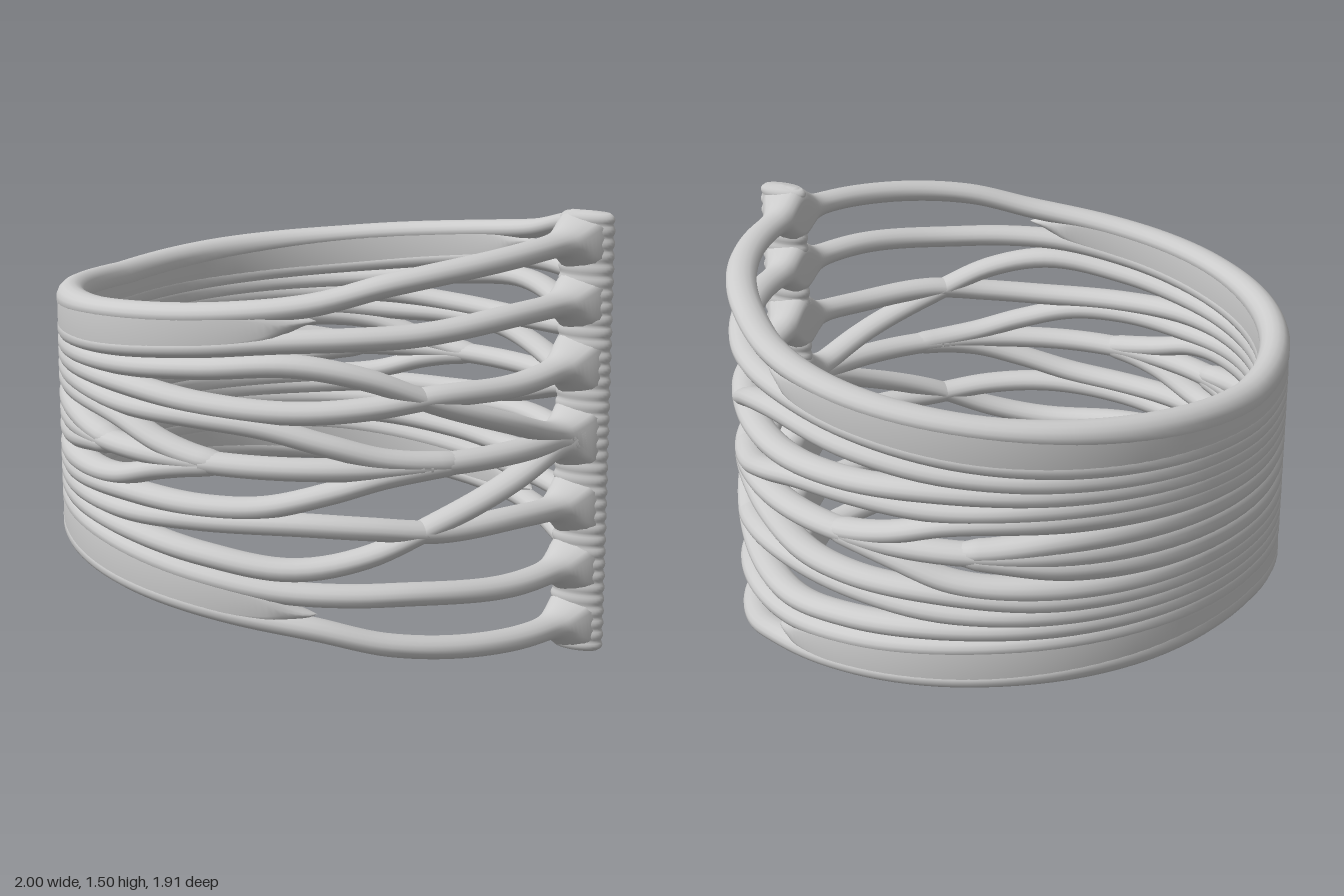
import * as THREE from 'three';

const CX = -0.045, R = 0.9035, MID = 0.75, STEPS = 170, SIDES = 16;
const material = new THREE.MeshStandardMaterial({ color: 0xcccccc });

const angleAt = x => Math.acos(THREE.MathUtils.clamp((x - CX) / R, -1, 1));

// smooth curve through [angle, value] keys
function curve(times, values) {
  const c = new THREE.CubicInterpolant(times, values, 1);
  c.settings = { endingStart: THREE.ZeroSlopeEnding, endingEnd: THREE.ZeroSlopeEnding };
  return a => c.evaluate(a)[0];
}

// Sweeps an oval or stadium section around the ring; keys are [x, y, halfHeight]
// and serve both halves of the ring. A first key at x > 0.9 makes a closed loop.
function strand(name, keys, { rr = 0.052, flare = 0, flip = false } = {}) {
  const times = keys.map(k => angleAt(k[0]));
  const yAt = curve(times, keys.map(k => k[1]));
  const hAt = keys[0][2] ? curve(times, keys.map(k => k[2])) : null;
  const a0 = times[0], closed = a0 === 0;
  const pos = [], index = [];
  const rings = closed ? STEPS : STEPS + 1;
  for (let i = 0; i < rings; i++) {
    const t = a0 + (2 * Math.PI - 2 * a0) * i / STEPS;
    const a = closed ? t - 0.7 * Math.sin(t) : t;
    const half = Math.min(a, 2 * Math.PI - a);
    const x = CX + R * Math.cos(a), z = R * Math.sin(a);
    const near = half < 1 ? Math.exp(-((z / 0.075) ** 2)) : 0;
    const taper = closed ? 1 : Math.sqrt(Math.min(1, (half - a0) / 0.15 + 0.0001));
    let h = hAt ? hAt(half) : 0.037 + 0.018 * THREE.MathUtils.smoothstep(-x, 0.4, 0.95);
    if (flare) h += (flare - h) * near;
    h *= taper;
    const r = rr * taper, round = Math.min(h, r), flat = Math.max(h - r, 0);
    const yc = flip ? 2 * MID - yAt(half) : yAt(half);
    for (let k = 0; k < SIDES; k++) {
      const th = (k + 0.5) / SIDES * 2 * Math.PI;
      const c = Math.cos(th), s = Math.sin(th);
      const rad = R + r * s + 0.075 * near * Math.max(s, 0);
      pos.push(CX + rad * Math.cos(a), yc + c * round + Math.sign(c) * flat, rad * Math.sin(a));
    }
  }
  for (let i = 0; i < STEPS; i++) {
    const j = (i + 1) % rings;
    for (let k = 0; k < SIDES; k++) {
      const l = (k + 1) % SIDES;
      const p = i * SIDES + k, q = j * SIDES + k, u = i * SIDES + l, v = j * SIDES + l;
      index.push(p, q, u, q, v, u);
    }
  }
  const g = new THREE.BufferGeometry();
  g.setAttribute('position', new THREE.Float32BufferAttribute(pos, 3));
  g.setIndex(index);
  g.computeVertexNormals();
  const mesh = new THREE.Mesh(g, material);
  mesh.name = name;
  return mesh;
}

// Upright oval post at the join, with fine ribs and rounded ends
function spine() {
  const pts = [], n = 220, H = 2 * MID, cr = 0.035;
  for (let i = 0; i <= n; i++) {
    const y = H * i / n, e = Math.min(y, H - y);
    const end = e < cr ? cr - Math.sqrt(Math.max(0, cr * cr - (cr - e) ** 2)) : 0;
    const rib = 0.008 * (1 - Math.abs(Math.sin(y / H * Math.PI * 36)));
    pts.push(new THREE.Vector2(i === 0 || i === n ? 0 : 0.096 - end - rib, y));
  }
  const mesh = new THREE.Mesh(new THREE.LatheGeometry(pts, 32), material);
  mesh.scale.z = 0.5;
  mesh.position.x = 0.904;
  mesh.name = 'ribbedSpine';
  return mesh;
}

export function createModel() {
  const group = new THREE.Group();
  group.name = 'wovenRing';

  // strands of the upper half, mirrored about the middle height
  const strands = [
    ['rimStrand', 0.1, [[1, 1.4], [0.8, 1.388], [0.55, 1.335], [0.35, 1.275], [0.1, 1.238], [-0.4, 1.188], [-0.8, 1.14], [-1, 1.105]]],
    ['secondStrand', 0.1, [[1, 1.2], [0.8, 1.2], [0.6, 1.17], [0.45, 1.165], [0.25, 1.155], [0, 1.125], [-0.5, 1.065], [-1, 1.02]]],
    ['thirdStrand', 0.11, [[1, 0.99], [0.8, 0.97], [0.65, 0.97], [0.5, 0.945], [0.3, 0.93], [0, 0.94], [-0.3, 0.96], [-0.6, 0.96], [-1, 0.94]]],
    ['crossingStrand', 0.12, [[1, 0.75], [0.85, 0.775], [0.8, 0.845], [0.65, 0.95], [0.5, 1.035], [0.3, 1.08], [0, 1.055], [-0.3, 1.025], [-0.6, 1.005], [-1, 0.98]]],
    ['outerBranch', 0, [[0.75, 0.75], [0.55, 0.775], [0.4, 0.825], [0.2, 0.88], [0, 0.895], [-0.3, 0.895], [-0.6, 0.91], [-1, 0.9]]],
    ['middleBranch', 0, [[0.15, 0.75], [0, 0.76], [-0.15, 0.79], [-0.35, 0.85], [-0.6, 0.87], [-1, 0.86]]],
    ['innerBranch', 0, [[-0.3, 0.75], [-0.45, 0.765], [-0.65, 0.795], [-1, 0.81]]]
  ];
  // broad smooth band between the rim and the second strand
  const band = [[0.36, 1.225, 0.02], [0.2, 1.2, 0.065], [0, 1.178, 0.083], [-0.5, 1.122, 0.088], [-1, 1.07, 0.085]];

  for (const flip of [false, true]) {
    const side = flip ? 'lower' : 'upper';
    for (const [name, flare, keys] of strands) {
      group.add(strand(`${side} ${name}`, keys, { flare, flip }));
    }
    group.add(strand(`${side} band`, band, { rr: 0.05, flip }));
  }
  group.add(strand('centreStrand', [[1, MID], [0, MID], [-1, MID]], { flare: 0.125 }));
  group.add(spine());
  return group;
}
